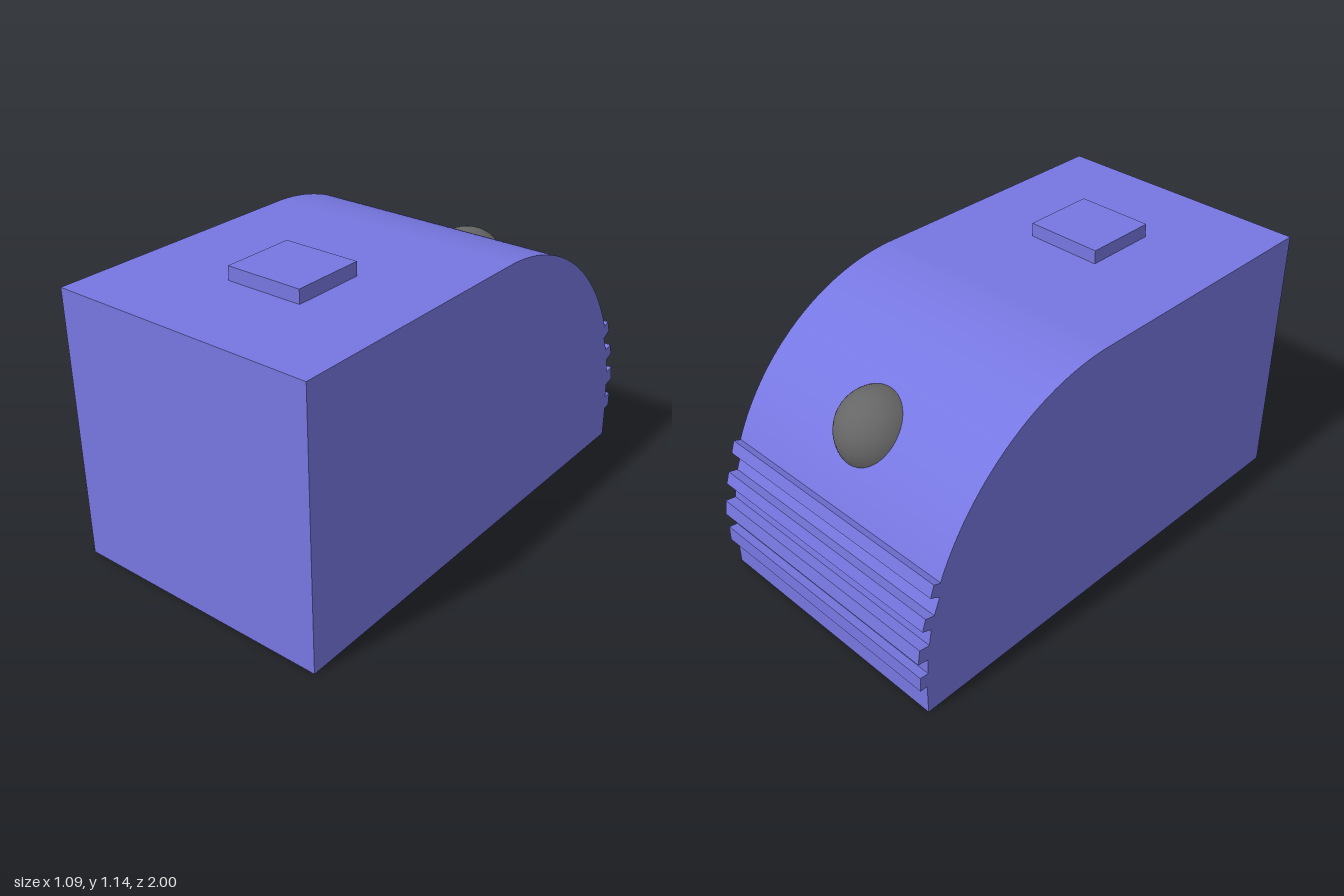
import * as THREE from 'three';
import { toCreasedNormals } from 'three/addons/utils/BufferGeometryUtils.js';

const WIDTH = 1.09;
const HEIGHT = 1.09;

export function createModel() {
  const violet = new THREE.MeshStandardMaterial({ color: 0x7777e2 });
  violet.name = 'violet';
  const grey = new THREE.MeshStandardMaterial({ color: 0x666666 });
  grey.name = 'darkGrey';

  const model = new THREE.Group();
  model.name = 'roundedBlock';
  const add = (name, geometry, material, x, y, z) => {
    const mesh = new THREE.Mesh(geometry, material);
    mesh.name = name;
    mesh.position.set(x, y, z);
    model.add(mesh);
  };

  // Side profile (distance to the back, height): flat base, four ribs, domed back, flat top
  const ribs = [
    [0.965, 0.13], [0.995, 0.13], [0.993, 0.193], [0.957, 0.188],
    [0.955, 0.252], [0.998, 0.262], [0.988, 0.322], [0.945, 0.315],
    [0.933, 0.38], [0.971, 0.395], [0.955, 0.443], [0.917, 0.433],
    [0.89, 0.498], [0.929, 0.518], [0.912, 0.567], [0.877, 0.553],
  ];
  const profile = new THREE.Shape();
  profile.moveTo(-1, 0);
  profile.lineTo(0.965, 0);
  ribs.forEach(([s, y]) => profile.lineTo(s, y));
  profile.absellipse(0.09, 0.17, 0.875, HEIGHT - 0.17, 0.435, Math.PI / 2, false);
  profile.lineTo(-1, HEIGHT);
  profile.closePath();

  // Extruded across the width, then turned so the dome faces the back
  const body = new THREE.ExtrudeGeometry(profile, { depth: WIDTH, bevelEnabled: false, curveSegments: 32 });
  body.translate(0, 0, -WIDTH / 2);
  body.rotateY(Math.PI / 2);
  add('body', toCreasedNormals(body, 0.25), violet, 0, 0, 0);

  // Low square button on the top
  add('topButton', new THREE.BoxGeometry(0.32, 0.075, 0.3), violet, 0.02, HEIGHT + 0.0175, 0.46);

  // Ball set into the domed back
  add('backBall', new THREE.SphereGeometry(0.163, 40, 28), grey, -0.005, 0.768, -0.657);

  return model;
}
